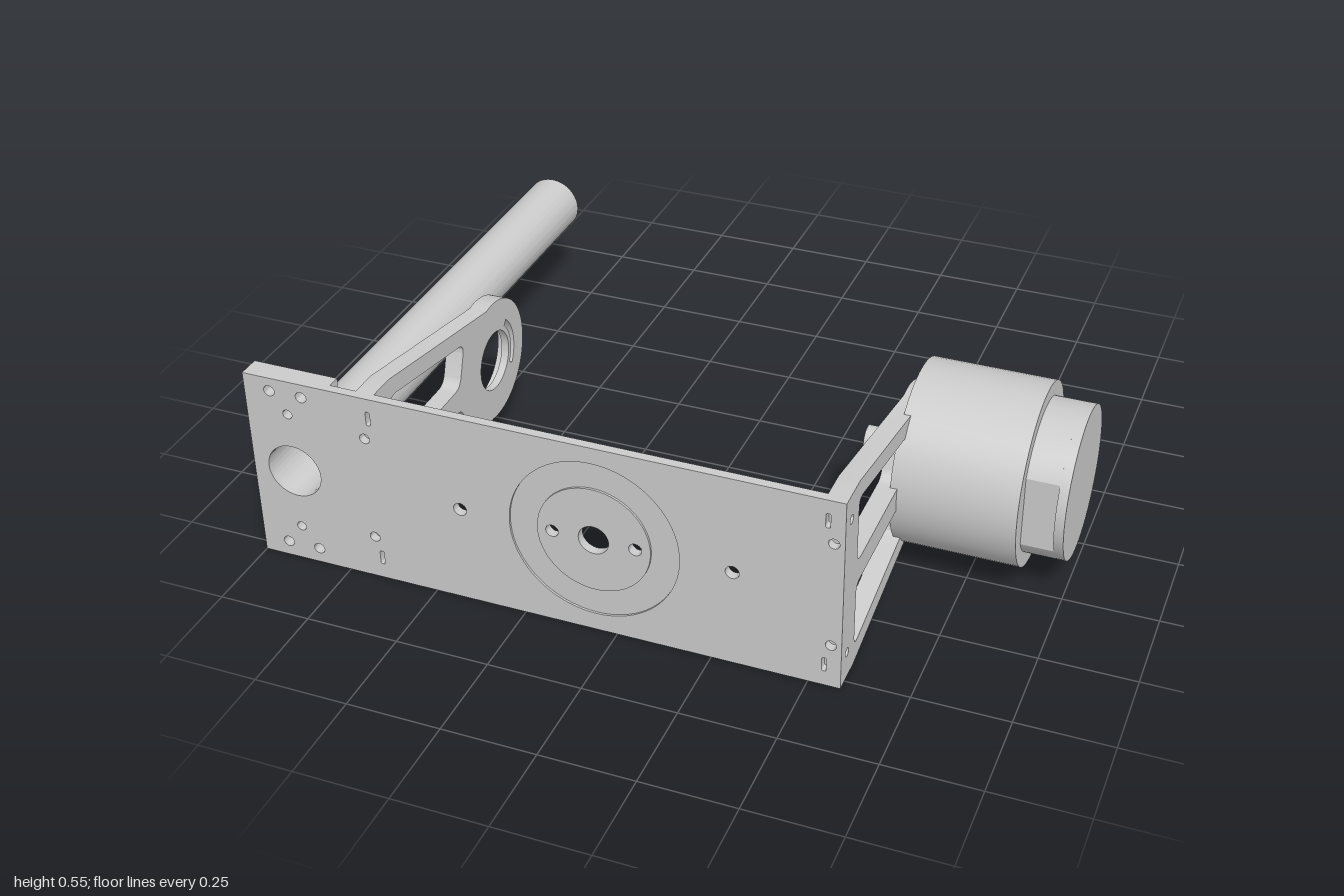
import * as THREE from 'three';
import { toCreasedNormals } from 'three/addons/utils/BufferGeometryUtils.js';

const material = new THREE.MeshStandardMaterial({ color: 0xcccccc });
const MID = 0.275;     // shared height of the axes
const H = 0.545;       // plate height
const AXIS_Z = 0.118;  // motor axis depth

function add(parent, name, geometry) {
  const mesh = new THREE.Mesh(toCreasedNormals(geometry, 0.5), material);
  mesh.name = name;
  parent.add(mesh);
  return mesh;
}

const circle = (x, y, r) => new THREE.Path().absarc(x, y, r, 0, Math.PI * 2, true);
const disc = (x, y, r) => new THREE.Shape().absarc(x, y, r, 0, Math.PI * 2, false);

function rect(x0, y0, x1, y1) {
  return new THREE.Shape([[x0, y0], [x1, y0], [x1, y1], [x0, y1]].map(p => new THREE.Vector2(...p)));
}

// Polygon with rounded corners
function roundedPoly(points, r) {
  const path = new THREE.Path();
  const v = points.map(p => new THREE.Vector2(...p));
  v.forEach((p, i) => {
    const before = v[(i + v.length - 1) % v.length].clone().sub(p).setLength(r).add(p);
    const after = v[(i + 1) % v.length].clone().sub(p).setLength(r).add(p);
    if (i === 0) path.moveTo(before.x, before.y);
    else path.lineTo(before.x, before.y);
    path.quadraticCurveTo(p.x, p.y, after.x, after.y);
  });
  path.closePath();
  return path;
}

// Extrusion from z0 to z1 of an x-y shape
function slabZ(shape, holes, z0, z1) {
  shape.holes.push(...holes);
  return new THREE.ExtrudeGeometry(shape, { depth: z1 - z0, bevelEnabled: false, curveSegments: 40 })
    .translate(0, 0, z0);
}

// Extrusion from x0 to x1 of a z-y shape
function slabX(shape, holes, x0, x1) {
  return slabZ(shape, holes, 0, x1 - x0).rotateY(-Math.PI / 2).translate(x1, 0, 0);
}

// Cylinder along x around the motor axis
function cylX(r, x0, x1) {
  return new THREE.CylinderGeometry(r, r, x1 - x0, 64)
    .rotateZ(Math.PI / 2).translate((x0 + x1) / 2, MID, AXIS_Z);
}

// Side arm outline: straight foot tapering tangentially into a round hub
function armShape() {
  const s = new THREE.Shape();
  const a = 1.395, r = 0.175;
  s.moveTo(0.757, 0);
  s.lineTo(0.757, H);
  s.lineTo(0.68, H);
  s.absarc(AXIS_Z, MID, r, a, 2 * Math.PI - a, false);
  s.lineTo(0.68, 0);
  s.closePath();
  return s;
}

// Two mirrored windows and the small screw holes in the foot
function armHoles() {
  const holes = [];
  for (const s of [1, -1]) {
    const pts = [[0.68, 0.033], [0.68, 0.22], [0.285, 0.148], [0.325, 0.033]];
    holes.push(roundedPoly(pts.map(([z, y]) => [z, MID + s * y]), 0.03));
    holes.push(circle(0.735, MID + s * 0.197, 0.012));
  }
  return holes;
}

export function createModel() {
  const model = new THREE.Group();

  // Front plate with a shallow ring recess on its face
  const cx = -0.055, tx = -0.883;
  const plateHoles = () => {
    const list = [circle(tx, MID, 0.075)];
    for (const s of [1, -1]) {
      for (const x of [-0.928, -0.838]) list.push(circle(x, MID + s * 0.232, 0.015));
      list.push(circle(tx, MID + s * 0.172, 0.013));
      for (const x of [-0.667, 0.556]) list.push(circle(x, MID + s * 0.15, 0.014));
      for (const x of [-0.652, 0.54]) {
        const y = MID + s * 0.212;
        list.push(roundedPoly([[x - 0.006, y - 0.02], [x + 0.006, y - 0.02],
          [x + 0.006, y + 0.02], [x - 0.006, y + 0.02]], 0.005));
      }
      list.push(circle(cx + s * 0.36, MID, 0.018));
    }
    return list;
  };
  const centreHoles = () => [circle(cx, MID, 0.04), circle(cx - 0.11, MID, 0.017), circle(cx + 0.11, MID, 0.017)];
  const plate = new THREE.Group();
  plate.name = 'frontPlate';
  add(plate, 'plateBack', slabZ(rect(-1, 0, 0.583, H), [...plateHoles(), ...centreHoles()], 0.755, 0.774));
  add(plate, 'plateFace', slabZ(rect(-1, 0, 0.583, H), [...plateHoles(), circle(cx, MID, 0.225)], 0.774, 0.78));
  add(plate, 'centreDisc', slabZ(disc(cx, MID, 0.15), centreHoles(), 0.774, 0.78));
  model.add(plate);

  // Thick mounting block and collar holding the tube
  const blockHoles = [circle(tx, MID, 0.083)];
  for (const x of [-0.928, -0.838]) for (const s of [1, -1]) blockHoles.push(circle(x, MID + s * 0.232, 0.015));
  add(model, 'tubeBlock', slabZ(rect(-1, 0, -0.765, H), blockHoles, 0.72, 0.755));
  add(model, 'tubeCollar', slabZ(disc(tx, MID, 0.117), [circle(tx, MID, 0.083)], 0.685, 0.72));
  add(model, 'tube', slabZ(disc(tx, MID, 0.083), [circle(tx, MID, 0.076)], -0.785, 0.756));

  // Idle side arm: counterbored bearing seat with a curved slot
  const slot = new THREE.Path();
  slot.absarc(AXIS_Z, MID, 0.118, 2.3, 3.7, false);
  slot.absarc(AXIS_Z, MID, 0.1, 3.7, 2.3, true);
  slot.closePath();
  const idle = new THREE.Group();
  idle.name = 'idleArm';
  add(idle, 'idleArmOuter', slabX(armShape(), [...armHoles(), circle(AXIS_Z, MID, 0.12)], -0.693, -0.665));
  add(idle, 'idleArmInner', slabX(armShape(), [...armHoles(), circle(AXIS_Z, MID, 0.085), slot], -0.665, -0.643));
  model.add(idle);

  // Motor side arm: the hub is thinner where the motor seats
  const hubHoles = [circle(AXIS_Z, MID, 0.06)];
  for (let i = 0; i < 4; i++) {
    const a = Math.PI / 4 + i * Math.PI / 2;
    hubHoles.push(circle(AXIS_Z + 0.115 * Math.cos(a), MID + 0.115 * Math.sin(a), 0.025));
  }
  add(model, 'motorArm', slabX(armShape(), [...armHoles(), ...hubHoles], 0.53, 0.583));

  // Motor body, shaft and end cap with a flat on its front side
  add(model, 'motorBody', cylX(0.243, 0.565, 0.89));
  add(model, 'motorShaft', cylX(0.035, 0.43, 0.57));
  const flat = Math.acos(0.177 / 0.203);
  const capShape = new THREE.Shape().absarc(AXIS_Z, MID, 0.203, flat, 2 * Math.PI - flat, false);
  capShape.closePath();
  add(model, 'motorCap', slabX(capShape, [], 0.89, 0.975));
  add(model, 'motorCapEnd', cylX(0.203, 0.975, 1));

  return model;
}
